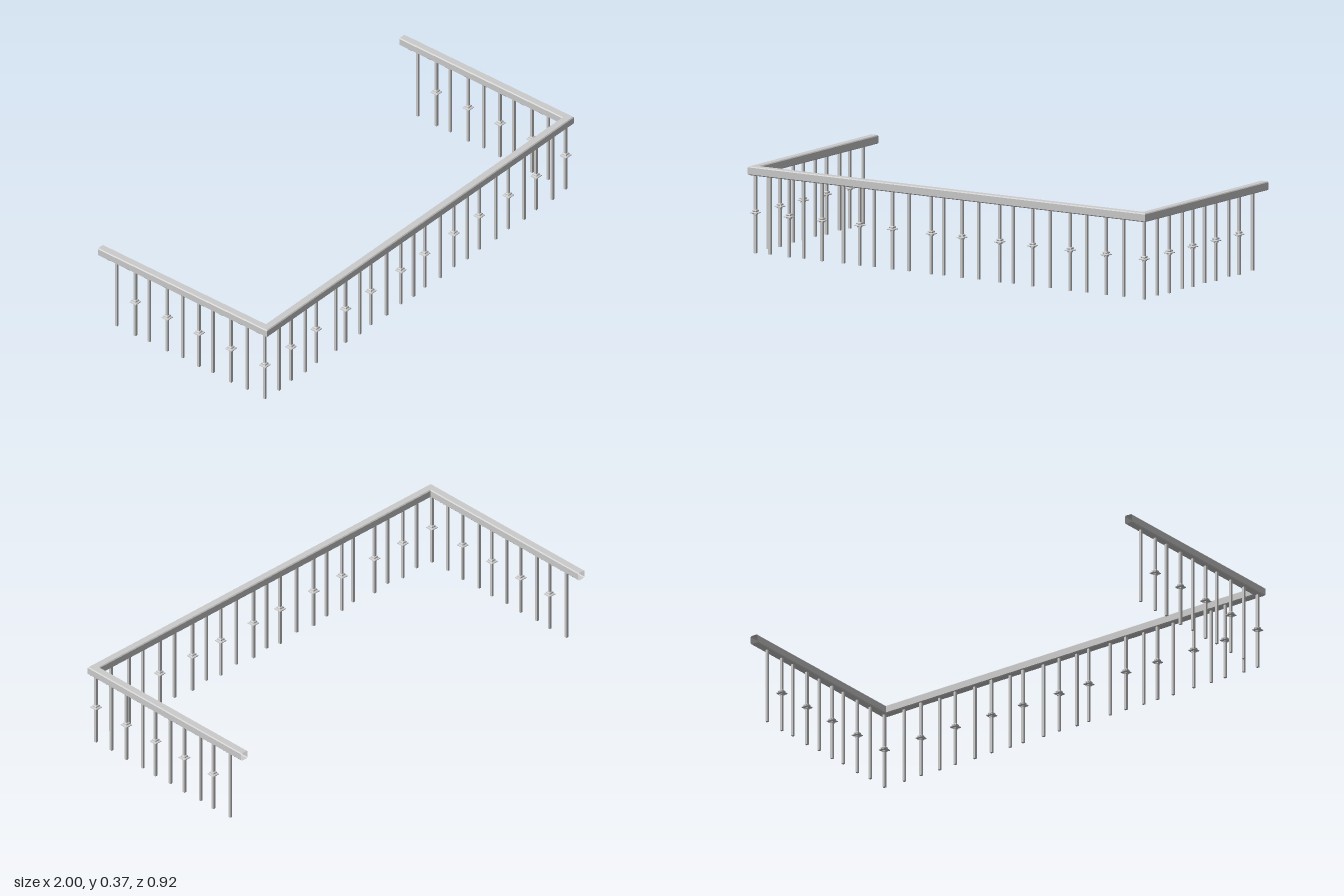
import * as THREE from 'three';

const mat = new THREE.MeshStandardMaterial({ color: 0xcccccc, flatShading: true });
const railMat = new THREE.MeshStandardMaterial({ color: 0xcccccc, flatShading: true, side: THREE.DoubleSide });

const RAIL_BOTTOM = 0.333, RAIL_TOP = 0.37, RAIL_WIDTH = 0.037, DEPTH = 0.46;

// U-shaped hollow handrail: chamfered square section swept with mitred corners
function railGeometry() {
  const w = RAIL_WIDTH, b = RAIL_BOTTOM, t = RAIL_TOP, c = 0.004;
  // (distance inward from the outer side, height)
  const section = [[c, b], [w - c, b], [w, b + c], [w, t - c], [w - c, t], [c, t], [0, t - c], [0, b + c]];
  const stations = [
    u => [-1 + u, -DEPTH],
    u => [-1 + u, DEPTH - u],
    u => [1 - u, DEPTH - u],
    u => [1 - u, -DEPTH],
  ];
  const point = (s, j) => {
    const [u, y] = section[j % section.length];
    const [x, z] = stations[s](u);
    return [x, y, z];
  };
  const pos = [];
  for (let s = 0; s < stations.length - 1; s++) {
    for (let j = 0; j < section.length; j++) {
      const p = point(s, j), q = point(s, j + 1), r = point(s + 1, j + 1), v = point(s + 1, j);
      pos.push(...p, ...q, ...r, ...p, ...r, ...v);
    }
  }
  const g = new THREE.BufferGeometry();
  g.setAttribute('position', new THREE.Float32BufferAttribute(pos, 3));
  g.computeVertexNormals();
  return g;
}

// Square collar: flared plate with a smaller block above it
const collarProfile = [
  [0.0055, 0.162], [0.008, 0.163], [0.008, 0.167], [0.017, 0.17], [0.017, 0.173],
  [0.008, 0.176], [0.011, 0.178], [0.011, 0.182], [0.008, 0.185], [0.0055, 0.185],
].map(([r, y]) => new THREE.Vector2(r * Math.SQRT2, y));
const collarGeo = new THREE.LatheGeometry(collarProfile, 4).rotateY(Math.PI / 4);

function baluster(x, z, collared) {
  const group = new THREE.Group();
  group.name = collared ? 'collaredBaluster' : 'plainBaluster';
  const bottom = collared ? 0 : 0.004;
  const height = RAIL_BOTTOM + 0.002 - bottom;
  const post = new THREE.Mesh(new THREE.BoxGeometry(0.011, height, 0.011), mat);
  post.name = 'post';
  post.position.y = bottom + height / 2;
  group.add(post);
  if (collared) {
    const collar = new THREE.Mesh(collarGeo, mat);
    collar.name = 'collar';
    group.add(collar);
  }
  group.position.set(x, 0, z);
  return group;
}

export function createModel() {
  const model = new THREE.Group();
  model.name = 'balconyRailing';

  const rail = new THREE.Mesh(railGeometry(), railMat);
  rail.name = 'handrail';
  model.add(rail);

  // Front run: collared and plain balusters alternate
  const frontX = [-0.98, -0.9, -0.81, -0.73, -0.645, -0.53, -0.455, -0.375, -0.29, -0.2, -0.095, -0.025,
    0.06, 0.15, 0.25, 0.325, 0.415, 0.51, 0.605, 0.695, 0.785, 0.88, 0.977];
  frontX.forEach((x, i) => model.add(baluster(x, i % 2 ? 0.442 : 0.432, i % 2 === 0)));

  // Side runs, mirrored
  const sideZ = [0.337, 0.248, 0.15, 0.074, -0.015, -0.099, -0.196, -0.272, -0.373];
  for (const x of [-0.98, 0.979]) {
    sideZ.forEach((z, i) => model.add(baluster(x, z, i % 2 === 1)));
  }
  return model;
}
